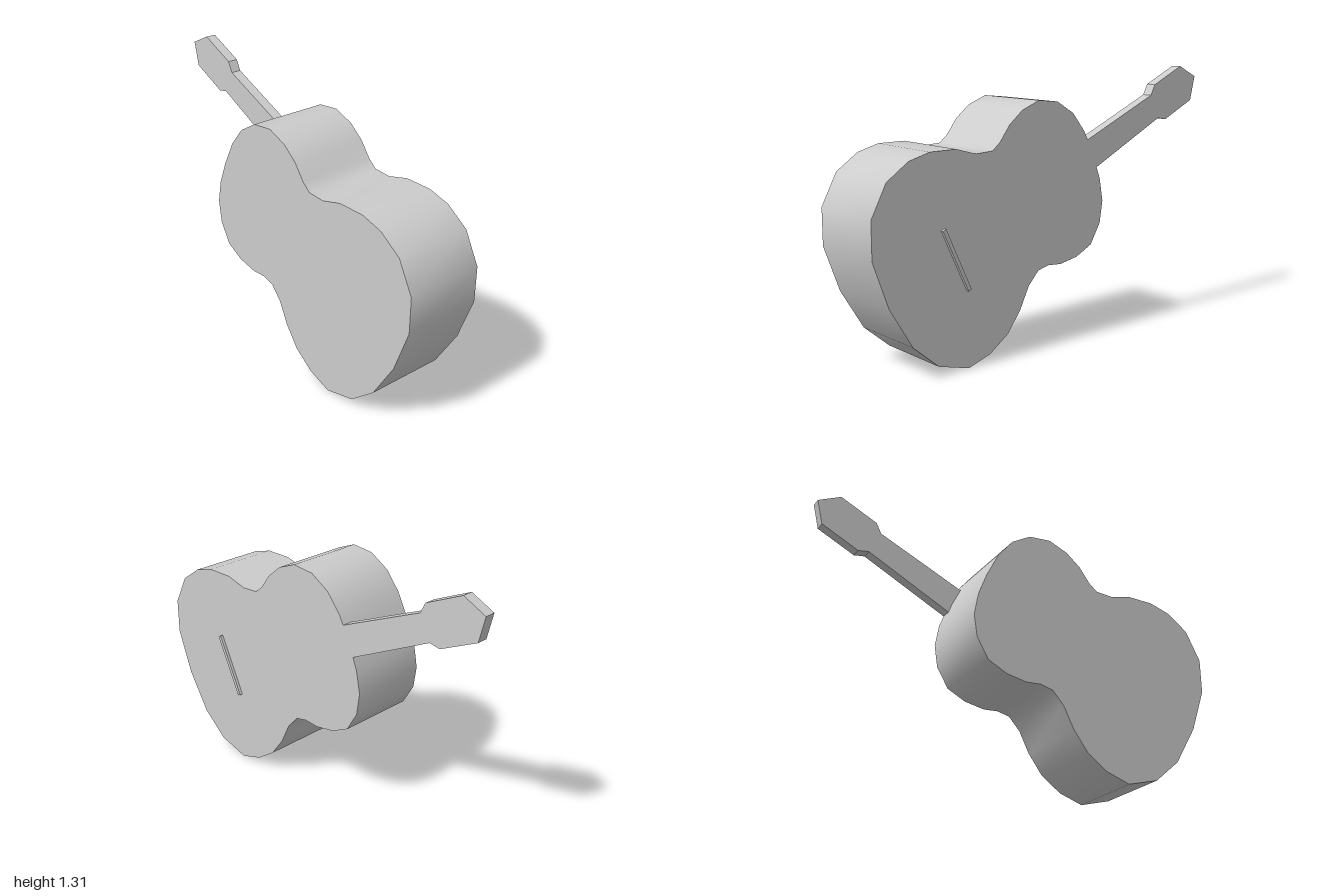
import * as THREE from 'three';
import { toCreasedNormals } from 'three/addons/utils/BufferGeometryUtils.js';

// Outline in the xy plane, extruded from zBack to zFront
function slab(points, zBack, zFront) {
  const shape = new THREE.Shape(points.map(([x, y]) => new THREE.Vector2(x, y)));
  const geometry = new THREE.ExtrudeGeometry(shape, { depth: zFront - zBack, bevelEnabled: false });
  return geometry.translate(0, 0, zBack);
}

export function createModel() {
  const model = new THREE.Group();
  model.name = 'guitar';
  const grey = new THREE.MeshStandardMaterial({ color: 0xcccccc });
  grey.name = 'light grey';

  const add = (name, geometry) => {
    const mesh = new THREE.Mesh(geometry, grey);
    mesh.name = name;
    model.add(mesh);
    return mesh;
  };

  // Waisted sound box, smooth around the sides with sharp rims
  const bodyOutline = [
    [-0.03, 1.172], [0.085, 1.184], [0.185, 1.145], [0.26, 1.085], [0.317, 1.01],
    [0.36, 0.975], [0.45, 0.97], [0.56, 1.0], [0.70, 1.0], [0.81, 0.97],
    [0.922, 0.893], [1.0, 0.745], [1.0, 0.57], [0.922, 0.353], [0.805, 0.16],
    [0.67, 0.045], [0.505, 0.0], [0.38, 0.04], [0.275, 0.113], [0.20, 0.213],
    [0.147, 0.32], [0.087, 0.385], [0.023, 0.4], [-0.055, 0.394], [-0.16, 0.413],
    [-0.255, 0.46], [-0.315, 0.56], [-0.332, 0.67], [-0.312, 0.78], [-0.27, 0.89],
    [-0.205, 1.02], [-0.13, 1.112],
  ];
  add('body', toCreasedNormals(slab(bodyOutline, -0.19, 0.205), 0.9));

  // Neck and flared head in one slab, flush with the strung face
  const neckOutline = [
    [-1.0, 1.25], [-0.885, 1.306], [-0.695, 1.22], [-0.668, 1.168], [-0.222, 0.976],
    [-0.282, 0.836], [-0.725, 1.05], [-0.78, 1.04], [-0.97, 1.128],
  ];
  add('neckAndHead', slab(neckOutline, -0.19, -0.137));

  // Thin bridge bar set square to the neck
  const bridge = add('bridge', new THREE.BoxGeometry(0.018, 0.32, 0.02));
  bridge.position.set(0.572, 0.512, -0.195);
  bridge.rotation.z = -0.437;

  return model;
}
